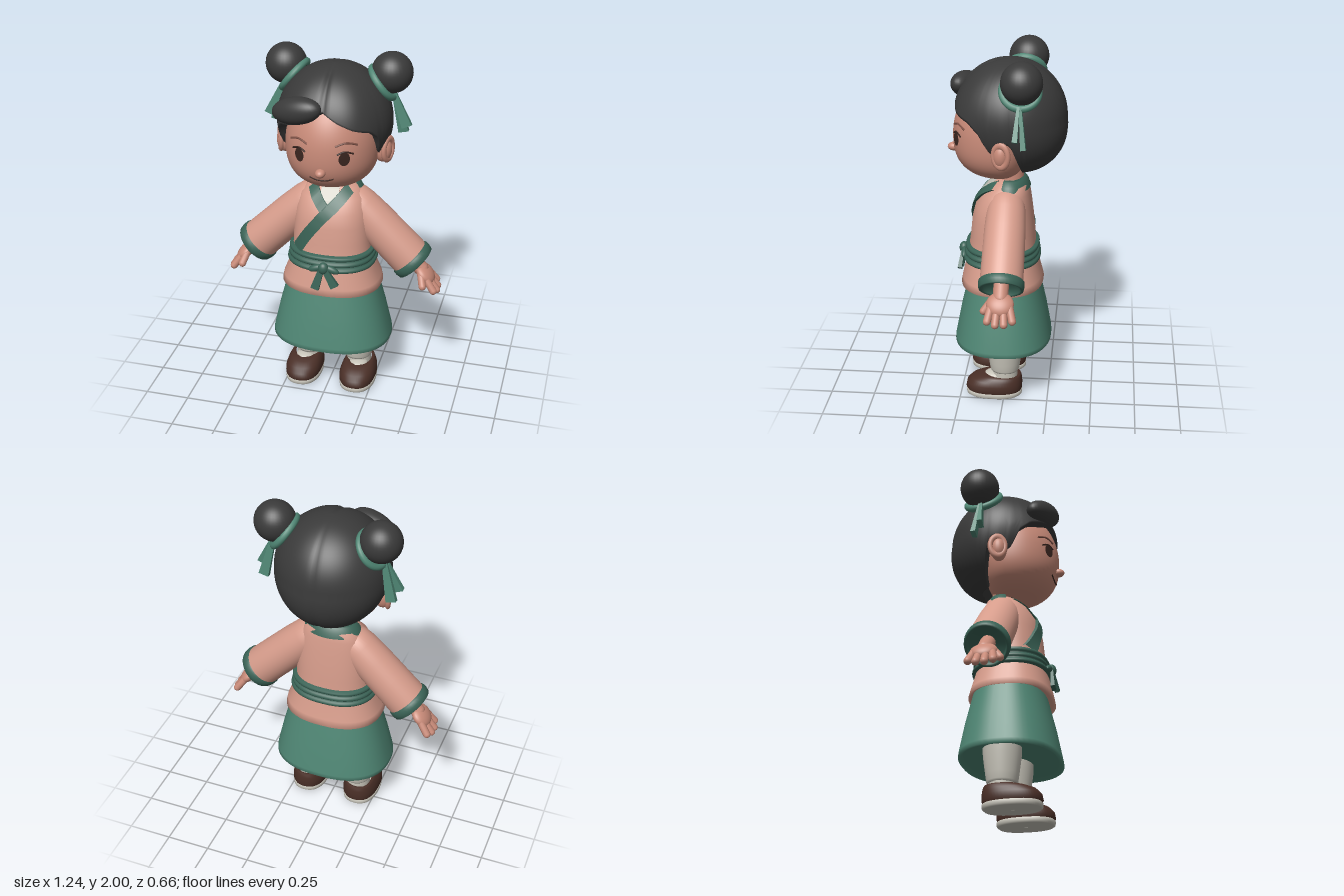
import * as THREE from 'three';
import { toCreasedNormals } from 'three/addons/utils/BufferGeometryUtils.js';

const V = (x, y, z) => new THREE.Vector3(x, y, z);
const mat = (name, color, side = THREE.FrontSide) => {
  const m = new THREE.MeshStandardMaterial({ color, side });
  m.name = name;
  return m;
};

// Closed-loop surface: rows run bottom to top, columns run around
function grid(rows, cols, fn) {
  const pos = [], idx = [];
  for (let i = 0; i < rows; i++) for (let j = 0; j < cols; j++) pos.push(...fn(i, j));
  for (let i = 0; i < rows - 1; i++) for (let j = 0; j < cols; j++) {
    const a = i * cols + j, b = i * cols + (j + 1) % cols;
    idx.push(a, b, a + cols, b, b + cols, a + cols);
  }
  const g = new THREE.BufferGeometry();
  g.setAttribute('position', new THREE.Float32BufferAttribute(pos, 3));
  g.setIndex(idx);
  g.computeVertexNormals();
  return g;
}

// Stack of rounded outlines, each row [y, halfWidth, zFront, zBack]
const N = 2.4;
const bend = (v) => Math.sign(v) * Math.abs(v) ** (2 / N);
const loft = (rows, cols = 56) => grid(rows.length, cols, (i, j) => {
  const [y, rx, f, b] = rows[i], a = (j / cols) * Math.PI * 2;
  return [rx * bend(Math.sin(a)), y, (f + b) / 2 + ((f - b) / 2) * bend(Math.cos(a))];
});

const lerpTable = (t, x) => {
  let k = 0;
  while (k < t.length - 2 && x > t[k + 1][0]) k++;
  const u = THREE.MathUtils.clamp((x - t[k][0]) / (t[k + 1][0] - t[k][0]), 0, 1);
  return t[k].map((v, n) => v + (t[k + 1][n] - v) * u);
};

const TORSO = [[0.66, 0.285, 0.255, -0.21], [0.7, 0.277, 0.248, -0.2], [0.8, 0.235, 0.225, -0.175],
  [0.86, 0.223, 0.213, -0.165], [0.95, 0.22, 0.2, -0.16], [1.05, 0.215, 0.19, -0.15], [1.13, 0.205, 0.17, -0.14],
  [1.2, 0.185, 0.13, -0.13], [1.25, 0.145, 0.08, -0.12], [1.275, 0.1, 0.05, -0.105]];
const torsoZ = (x, y) => {
  const [, rx, f, b] = lerpTable(TORSO, y);
  return (f + b) / 2 + ((f - b) / 2) * Math.max(0, 1 - Math.abs(x / rx) ** N) ** (1 / N);
};

// Face: fuller below the eyes, tapering under the hair
const faceScale = (y) => {
  const up = y > 1.52, n = up ? 2 : 2.6, t = Math.abs(y - 1.52) / (up ? 0.33 : 0.235);
  return Math.max(0, 1 - t ** n) ** (1 / n);
};
const faceZ = (x, y) => {
  const s = faceScale(y);
  return 0.03 + 0.265 * Math.sqrt(Math.max(0, s * s - (x / 0.255) ** 2));
};

// Hairline height by angle from the front, in degrees
const HAIRLINE = [[0, 1.77], [15, 1.72], [30, 1.68], [50, 1.65], [60, 1.6], [66, 1.5], [72, 1.47], [76, 1.52],
  [80, 1.56], [92, 1.55], [98, 1.4], [104, 1.335], [180, 1.325]];

export function createModel() {
  const root = new THREE.Group();
  root.name = 'girl';
  const skin = mat('skin', 0xc98b79), jacket = mat('jacketPink', 0xd69c8b), green = mat('skirtGreen', 0x4f8674);
  const trim = mat('trimGreen', 0x3a6356, THREE.DoubleSide), hair = mat('hairBlack', 0x3a3a3a);
  const light = mat('offWhite', 0xc8c5ba, THREE.DoubleSide), brown = mat('shoeBrown', 0x4a2f27);
  const dark = mat('eyeBrown', 0x3a2620), brow = mat('browBrown', 0x84564a);

  const add = (name, geo, m, parent = root) => {
    const o = new THREE.Mesh(geo, m);
    o.name = name;
    parent.add(o);
    return o;
  };
  const ball = (name, m, p, s, parent) => {
    const o = add(name, new THREE.SphereGeometry(1, 32, 24), m, parent);
    o.position.set(...p);
    o.scale.set(...s);
    return o;
  };
  const lathe = (name, pts, m, parent) =>
    add(name, new THREE.LatheGeometry(pts.map(([x, y]) => new THREE.Vector2(x, y)), 40), m, parent);
  const up = V(0, 1, 0);
  const finger = (name, p, q, r, m, parent) => {
    const d = q.clone().sub(p), o = add(name, new THREE.CapsuleGeometry(r, d.length(), 6, 14), m, parent);
    o.position.copy(p).lerp(q, 0.5);
    o.quaternion.setFromUnitVectors(up, d.normalize());
  };
  // Flat cloth tail that widens from p down to q
  const tail = (name, p, q, r1, r2, m) => {
    const d = p.clone().sub(q);
    const g = new THREE.CylinderGeometry(r1, r2, d.length(), 4, 1).rotateY(Math.PI / 4);
    const o = add(name, toCreasedNormals(g, 0.5), m);
    o.position.copy(p).lerp(q, 0.5);
    o.quaternion.setFromUnitVectors(up, d.normalize());
    o.scale.z = 0.5;
  };
  // Thin strip laid over the jacket front
  const strip = (name, pts, w, lift, m) => {
    const c = new THREE.CatmullRomCurve3(pts.map(([x, y]) => V(x, y, 0)));
    const g = grid(25, 4, (i, j) => {
      const p = c.getPoint(i / 24), t = c.getTangent(i / 24), e = j < 2 ? -w / 2 : w / 2;
      const x = p.x - t.y * e, y = p.y + t.x * e;
      return [x, y, torsoZ(x, y) + (j === 1 || j === 2 ? lift : -0.012)];
    });
    add(name, toCreasedNormals(g, 0.7), m);
  };
  // Fine line drawn on the face
  const faceLine = (name, pts, r, m) => {
    const c = new THREE.CatmullRomCurve3(pts.map(([x, y]) => V(x, y, faceZ(x, y) + 0.001)));
    add(name, new THREE.TubeGeometry(c, 16, r, 6), m);
  };

  // Clothes
  add('skirt', loft([[0.36, 0.02, 0.03, 0.01], [0.335, 0.31, 0.26, -0.225], [0.307, 0.33, 0.28, -0.245],
    [0.31, 0.343, 0.293, -0.258], [0.335, 0.341, 0.29, -0.256], [0.5, 0.303, 0.258, -0.226], [0.7, 0.25, 0.21, -0.18]]), green);
  add('jacket', loft([[0.69, 0.23, 0.19, -0.16], [0.668, 0.265, 0.235, -0.19], ...TORSO, [1.28, 0.03, 0, -0.05]]), jacket);
  const sash = [];
  for (let i = 0; i <= 18; i++) {
    const u = i / 18, y = 0.8 + 0.1 * u, [, rx, f, b] = lerpTable(TORSO, y);
    const o = (i % 18 ? 0.006 : -0.01) + 0.015 * Math.sqrt(Math.abs(Math.sin(3 * Math.PI * u)));
    sash.push([y, rx + o, f + o, b - o]);
  }
  add('sash', loft(sash), trim);
  ball('sashKnot', trim, [0, 0.835, 0.245], [0.03, 0.035, 0.026]);
  for (const s of [-1, 1]) {
    ball('bowLoop', trim, [s * 0.045, 0.828, 0.238], [0.045, 0.02, 0.018]).rotation.z = s * -0.35;
    tail('sashTail', V(s * 0.012, 0.825, 0.25), V(s < 0 ? -0.045 : 0.07, s < 0 ? 0.71 : 0.735, 0.262), 0.022, 0.034, trim);
  }
  strip('innerShirt', [[0, 1.27], [0, 1.23], [0, 1.17]], 0.1, 0.005, light);
  strip('underCollar', [[-0.105, 1.255], [-0.06, 1.2], [0, 1.14]], 0.055, 0.01, trim);
  strip('overCollar', [[0.105, 1.255], [0.05, 1.19], [-0.03, 1.105], [-0.11, 1.0], [-0.17, 0.9]], 0.06, 0.016, trim);
  const collar = add('backCollar', new THREE.LatheGeometry([[0.165, 1.225], [0.15, 1.255], [0.125, 1.28], [0.105, 1.285],
    [0.09, 1.265]].map(([x, y]) => new THREE.Vector2(x, y)), 32, 1.2, Math.PI * 2 - 2.4), trim);
  collar.scale.z = 0.68;
  collar.position.z = -0.02;

  // Head
  add('neck', new THREE.CylinderGeometry(0.07, 0.08, 0.16, 28), skin).position.set(0, 1.29, -0.02);
  add('face', grid(37, 64, (i, j) => {
    const c = -Math.cos((i / 36) * Math.PI), y = 1.52 + c * (c > 0 ? 0.33 : 0.235);
    const s = faceScale(y), a = (j / 64) * Math.PI * 2, cz = Math.cos(a);
    return [0.255 * s * Math.sin(a), y, 0.03 + (cz > 0 ? 0.265 : 0.16) * s * cz];
  }), skin);
  ball('nose', skin, [0, 1.44, 0.294], [0.028, 0.024, 0.034]);
  faceLine('mouth', [[-0.065, 1.402], [-0.03, 1.39], [0, 1.387], [0.03, 1.39], [0.065, 1.402]], 0.004, dark);
  add('hair', grid(44, 120, (i, j) => {
    const deg = j * 3, az = deg > 180 ? 360 - deg : deg, a = THREE.MathUtils.degToRad(deg);
    const end = Math.acos((lerpTable(HAIRLINE, az)[1] - 1.63) / 0.315);
    const u = Math.min(1, (43 - i) / 40), phi = u * end;
    let r = [0.76, 0.88, 0.97][i] ?? 1;
    r *= 1 + 0.05 * Math.exp(-(((az - 35) / 20) ** 2)) * u * u;
    const sx = Math.sin(phi) * Math.sin(a);
    r *= 1 - (az < 90 ? 0.03 : 0.015) * Math.exp(-((sx / 0.05) ** 2)) * Math.min(1, u * 3);
    const y = r * 0.315 * Math.cos(phi);
    return [r * 0.315 * sx, 1.63 + y, -0.02 + r * 0.31 * Math.sin(phi) * Math.cos(a) + Math.min(0, y) * 0.15];
  }), hair);
  ball('fringe', hair, [-0.143, 1.757, 0.237], [0.15, 0.074, 0.07]).rotation.set(0, -0.3, 0.25);

  for (const s of [-1, 1]) {
    // Eyes and brows
    const eye = new THREE.CircleGeometry(1, 28), p = eye.attributes.position;
    for (let i = 0; i < p.count; i++) {
      const x = s * 0.122 + p.getX(i) * 0.027, y = 1.522 + p.getY(i) * 0.038;
      p.setXYZ(i, x, y, faceZ(x, y) + 0.004);
    }
    eye.computeVertexNormals();
    add('eye', eye, dark);
    faceLine('eyelash', [[s * 0.085, 1.548], [s * 0.12, 1.562], [s * 0.165, 1.545]], 0.005, dark);
    faceLine('eyebrow', [[s * 0.075, 1.593], [s * 0.125, 1.608], [s * 0.18, 1.59]], 0.006, brow);

    // Ears
    ball('ear', skin, [s * 0.272, 1.485, 0.008], [0.05, 0.072, 0.045]);
    const rim = add('earRim', new THREE.TorusGeometry(0.042, 0.015, 10, 28), skin);
    rim.position.set(s * 0.3, 1.49, 0.008);
    rim.scale.y = 1.4;
    rim.rotation.y = s * 1.2;

    // Hair buns with ties
    ball('hairBun', hair, [s * 0.292, 1.886, -0.1], [0.113, 0.112, 0.111]);
    const tie = add('hairTie', new THREE.TorusGeometry(0.096, 0.02, 12, 40), green);
    tie.position.set(s * 0.243, 1.828, -0.09);
    tie.quaternion.setFromUnitVectors(V(0, 0, 1), V(s * 0.78, 0.61, -0.12).normalize());
    tail('tieTail', V(s * 0.312, 1.765, -0.085), V(s * 0.385, 1.595, -0.072), 0.02, 0.04, green);
    tail('tieTail', V(s * 0.31, 1.765, -0.095), V(s * 0.36, 1.548, -0.115), 0.02, 0.04, green);

    // Arm: local -y runs down the sleeve
    const arm = new THREE.Group();
    arm.name = s > 0 ? 'leftArm' : 'rightArm';
    arm.position.set(s * 0.468, 0.802, -0.008);
    arm.rotation.z = s * 0.785;
    root.add(arm);
    lathe('sleeve', [[0.112, 0.01], [0.117, 0.05], [0.115, 0.2], [0.113, 0.34], [0.107, 0.45], [0.097, 0.51],
      [0.075, 0.555], [0.04, 0.58], [0, 0.588]], jacket, arm);
    lathe('cuff', [[0, 0.05], [0.095, 0.035], [0.104, 0], [0.112, -0.006], [0.121, -0.002], [0.125, 0.02],
      [0.124, 0.042], [0.115, 0.052]], trim, arm);
    finger('wrist', V(0, 0.06, 0), V(0, -0.05, 0), 0.042, skin, arm);
    ball('palm', skin, [0, -0.085, 0], [0.036, 0.068, 0.074], arm);
    [-0.064, -0.023, 0.02, 0.06].forEach((z, k) =>
      finger('finger', V(0, -0.1, z * 0.8), V(s * -0.012, [-0.175, -0.195, -0.198, -0.18][k], z * 1.08), 0.021, skin, arm));
    finger('thumb', V(0, -0.055, 0.04), V(s * -0.03, -0.115, 0.088), 0.021, skin, arm);

    // Leg and shoe
    lathe('trouserLeg', [[0.05, 0.145], [0.078, 0.145], [0.084, 0.158], [0.09, 0.2], [0.103, 0.3], [0.106, 0.36]], light)
      .position.set(s * 0.145, 0, 0);
    const foot = new THREE.Group();
    foot.name = s > 0 ? 'leftFoot' : 'rightFoot';
    foot.position.x = s * 0.163;
    root.add(foot);
    add('sock', new THREE.CylinderGeometry(0.073, 0.073, 0.09, 28), light, foot).position.set(s * -0.012, 0.11, 0);
    ball('instep', light, [0, 0.112, 0.06], [0.055, 0.028, 0.06], foot);
    add('sole', loft([[0, 0.01, 0.07, 0.05], [0, 0.095, 0.208, -0.092], [0.008, 0.103, 0.218, -0.101],
      [0.026, 0.104, 0.22, -0.102], [0.032, 0.098, 0.214, -0.096], [0.033, 0.01, 0.07, 0.05]]), light, foot);
    add('shoe', loft([[0.028, 0.098, 0.213, -0.096], [0.045, 0.105, 0.221, -0.102], [0.075, 0.104, 0.215, -0.102],
      [0.1, 0.096, 0.19, -0.1], [0.118, 0.085, 0.145, -0.096], [0.128, 0.076, 0.105, -0.09], [0.122, 0.065, 0.085, -0.075]]), brown, foot);
  }
  return root;
}
